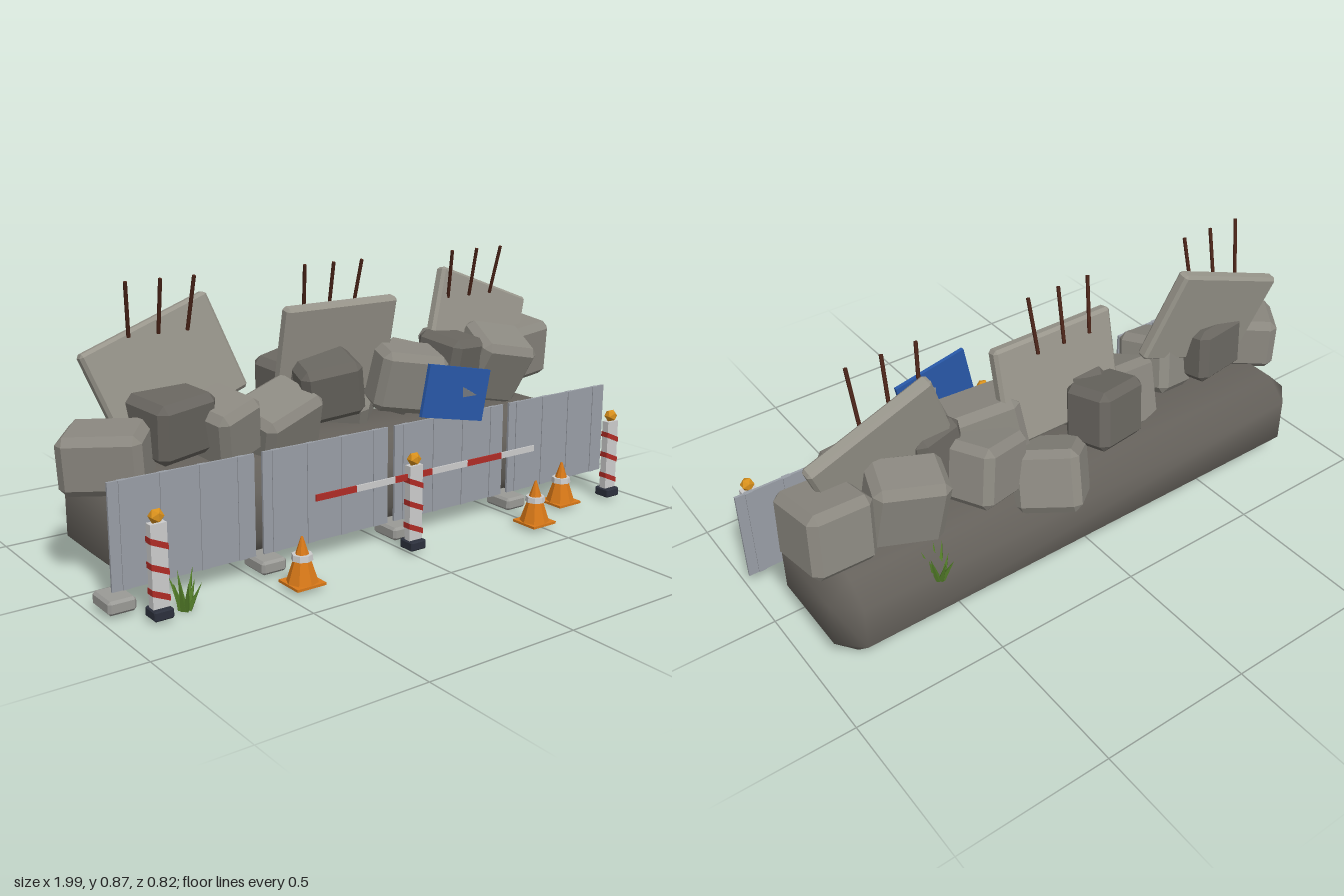
import * as THREE from 'three';
import { ConvexGeometry } from 'three/addons/geometries/ConvexGeometry.js';
import { mergeVertices } from 'three/addons/utils/BufferGeometryUtils.js';

const mat = (color, flatShading = true) => new THREE.MeshStandardMaterial({ color, flatShading });
const M = {
  mound: mat(0x66625c, false), slab: mat(0x98958b), rockLight: mat(0x8a877f), rockDark: mat(0x68655f),
  rod: mat(0x4a2418), panel: mat(0x999ea6), foot: mat(0x9a9a96), white: mat(0xdcdcd8), red: mat(0xb02c26),
  navy: mat(0x2c303c), gold: mat(0xd8901c), orange: mat(0xd87818), blue: mat(0x2858a8),
  arrow: mat(0x8a8f96), grass: mat(0x55802a),
};

function add(parent, name, geometry, material, pos = [0, 0, 0], rot = [0, 0, 0]) {
  const m = new THREE.Mesh(geometry, material);
  m.name = name;
  m.position.set(...pos);
  m.rotation.set(...rot);
  parent.add(m);
  return m;
}

const box = (w, h, d) => new THREE.BoxGeometry(w, h, d);

// Box with all edges and corners cut off by c
function chamferBox(w, h, d, c) {
  const pts = [];
  for (const x of [-1, 1]) for (const y of [-1, 1]) for (const z of [-1, 1]) {
    const [a, b, e] = [w / 2, h / 2, d / 2];
    pts.push(new THREE.Vector3(x * a, y * (b - c), z * (e - c)));
    pts.push(new THREE.Vector3(x * (a - c), y * b, z * (e - c)));
    pts.push(new THREE.Vector3(x * (a - c), y * (b - c), z * e));
  }
  return new ConvexGeometry(pts);
}

// Shared corners give soft shading across the cut edges
function softened(geometry) {
  geometry.deleteAttribute('normal');
  const g = mergeVertices(geometry);
  g.computeVertexNormals();
  return g;
}

// Straight rod between two points
function rodBetween(parent, name, a, b, r, material) {
  const p = new THREE.Vector3(...a), q = new THREE.Vector3(...b), d = q.clone().sub(p);
  const m = add(parent, name, new THREE.CylinderGeometry(r, r, d.length(), 6), material);
  m.position.copy(p).add(q).multiplyScalar(0.5);
  m.quaternion.setFromUnitVectors(new THREE.Vector3(0, 1, 0), d.normalize());
}

function group(parent, name, x = 0, y = 0, z = 0) {
  const g = new THREE.Group();
  g.name = name;
  g.position.set(x, y, z);
  parent.add(g);
  return g;
}

// Striped post: foot, slim board, slanted stripes, faceted lamp
function stripedPost(parent, x) {
  const g = group(parent, 'stripedPost', x, 0, 0.293);
  add(g, 'postFoot', chamferBox(0.06, 0.03, 0.06, 0.004), M.navy, [0, 0.025, 0]);
  add(g, 'postBoard', box(0.05, 0.245, 0.026), M.white, [0, 0.16, 0]);
  const w = 0.027, s = 0.012, t = 0.009;
  const shape = new THREE.Shape([[-w, s - t], [w, -s - t], [w, -s + t], [-w, s + t]].map((p) => new THREE.Vector2(...p)));
  const stripe = new THREE.ExtrudeGeometry(shape, { depth: 0.03, bevelEnabled: false }).translate(0, 0, -0.015);
  for (const y of [0.077, 0.152, 0.225]) add(g, 'redStripe', stripe, M.red, [0, y, 0]);
  add(g, 'lamp', new THREE.IcosahedronGeometry(0.023, 0), M.gold, [0, 0.301, 0]);
}

function trafficCone(parent, x, z) {
  const g = group(parent, 'trafficCone', x, 0, z);
  add(g, 'coneBase', box(0.1, 0.008, 0.1), M.orange, [0, 0.015, 0]);
  add(g, 'coneBody', new THREE.CylinderGeometry(0.003, 0.05, 0.142, 8), M.orange, [0, 0.086, 0]);
  add(g, 'coneBand', new THREE.CylinderGeometry(0.031, 0.033, 0.018, 8), M.white, [0, 0.095, 0]);
}

// Tuft of leaning blades
function grassTuft(parent, x, y, z) {
  const g = group(parent, 'grassTuft', x, y, z);
  for (let i = 0; i < 8; i++) {
    const a = i * 2.4, h = 0.085 + 0.03 * ((i * 3) % 4) / 3, lean = 0.24 + 0.07 * (i % 4);
    const blade = new THREE.ConeGeometry(0.011, h, 4).translate(0, h / 2, 0);
    add(g, 'blade', blade, M.grass, [Math.cos(a) * 0.012, 0, Math.sin(a) * 0.012],
      [Math.sin(a) * lean, 0, -Math.cos(a) * lean]);
  }
}

export function createModel() {
  const root = new THREE.Group();
  root.name = 'rubbleBarricade';

  // Mound under the rubble
  add(root, 'mound', softened(chamferBox(1.82, 0.295, 0.442, 0.073)), M.mound, [0.02, 0.158, -0.114]);

  // Rocks: centre, size, rotation, dark
  const rubble = group(root, 'rubble');
  const rocks = [
    [[-0.84, 0.375, -0.06], [0.25, 0.18, 0.21], [0.08, -0.65, 0.08], 0],
    [[-0.62, 0.44, -0.09], [0.22, 0.19, 0.22], [0.1, 0.2, 0.05], 1],
    [[-0.46, 0.41, -0.05], [0.18, 0.19, 0.2], [0.2, 0.3, 0.2], 0],
    [[-0.25, 0.365, -0.08], [0.26, 0.23, 0.2], [0.35, 0.3, 0.15], 0],
    [[-0.05, 0.475, -0.08], [0.21, 0.19, 0.19], [0.2, -0.25, 0.2], 1],
    [[-0.09, 0.465, -0.23], [0.21, 0.2, 0.17], [0.15, 0.25, 0.1], 1],
    [[0.14, 0.335, -0.26], [0.22, 0.2, 0.21], [0.2, 0.8, 0.25], 0],
    [[0.27, 0.46, -0.075], [0.24, 0.21, 0.19], [0.15, -0.3, -0.12], 0],
    [[0.345, 0.43, -0.2], [0.22, 0.2, 0.18], [0.1, 0.4, 0.2], 0],
    [[0.48, 0.48, -0.09], [0.17, 0.21, 0.19], [0.15, 0.2, -0.1], 1],
    [[0.67, 0.46, -0.08], [0.23, 0.24, 0.19], [0.45, -0.2, -0.12], 0],
    [[0.645, 0.465, -0.23], [0.23, 0.23, 0.17], [-0.15, -0.3, 0.1], 0],
    [[0.88, 0.475, -0.203], [0.21, 0.21, 0.22], [0.14, 0.08, 0.08], 0],
  ];
  for (const [pos, size, rot, dark] of rocks)
    add(rubble, 'rock', chamferBox(...size, 0.024), dark ? M.rockDark : M.rockLight, pos, rot);

  // Upright concrete slabs, leaning and then rolled sideways: centre, width, lean, roll
  const slabs = [
    [[-0.597, 0.58, -0.148], 0.45, -0.18, 0.35],
    [[0.022, 0.58, -0.128], 0.44, 0.22, 0],
    [[0.655, 0.58, -0.148], 0.43, -0.18, -0.36],
  ];
  for (const [pos, w, lean, roll] of slabs)
    add(rubble, 'slab', chamferBox(w, 0.33, 0.045, 0.01), M.slab, pos, [lean, 0, roll, 'ZYX']);

  // Bent reinforcing rods, three above each slab
  for (const x of [-0.63, -0.01, 0.603])
    for (let i = -1; i < 2; i++) {
      const top = x + i * 0.112, lean = 0.013 - i * 0.014;
      rodBetween(rubble, 'reinforcingRod', [top + lean, 0.7, -0.14], [top, 0.872, -0.09], 0.006, M.rod);
    }

  // Fence panels with raised ribs and concrete feet
  const fence = group(root, 'fence');
  for (let p = 0; p < 4; p++) {
    const x = -0.715 + p * 0.493;
    add(fence, 'fencePanel', box(0.465, 0.318, 0.008), M.panel, [x, 0.218, 0.169]);
    for (let i = -1.5; i < 2; i++)
      add(fence, 'fenceRib', box(0.025, 0.318, 0.014), M.panel, [x + i * 0.125, 0.218, 0.169]);
    add(fence, 'fenceFoot', chamferBox(0.086, 0.042, 0.112, 0.008), M.foot, [-0.938 + p * 0.492, 0.032, 0.164]);
  }

  // Striped posts and the red and white bar across the middle
  for (const x of [-0.865, 0.02, 0.907]) stripedPost(root, x);
  const bar = group(root, 'barrierBar');
  for (let i = 0; i < 6; i++)
    add(bar, 'barSegment', box(0.147, 0.02, 0.005), i % 2 ? M.white : M.red, [-0.275 + i * 0.147, 0.247, 0.293]);

  for (const [x, z] of [[-0.423, 0.33], [0.49, 0.353], [0.71, 0.256]]) trafficCone(root, x, z);

  // Tilted sign with a three-sided pointer through it
  add(root, 'signBoard', box(0.262, 0.172, 0.013), M.blue, [0.27, 0.455, 0.194], [0, 0, -0.2]);
  const pointer = new THREE.ConeGeometry(0.036, 0.1, 3).rotateX(Math.PI / 2).rotateZ(Math.PI / 2);
  add(root, 'signPointer', pointer, M.arrow, [0.307, 0.455, 0.206]);

  grassTuft(root, -0.775, 0.003, 0.27);
  grassTuft(root, 0.6, 0.21, -0.325);
  return root;
}
